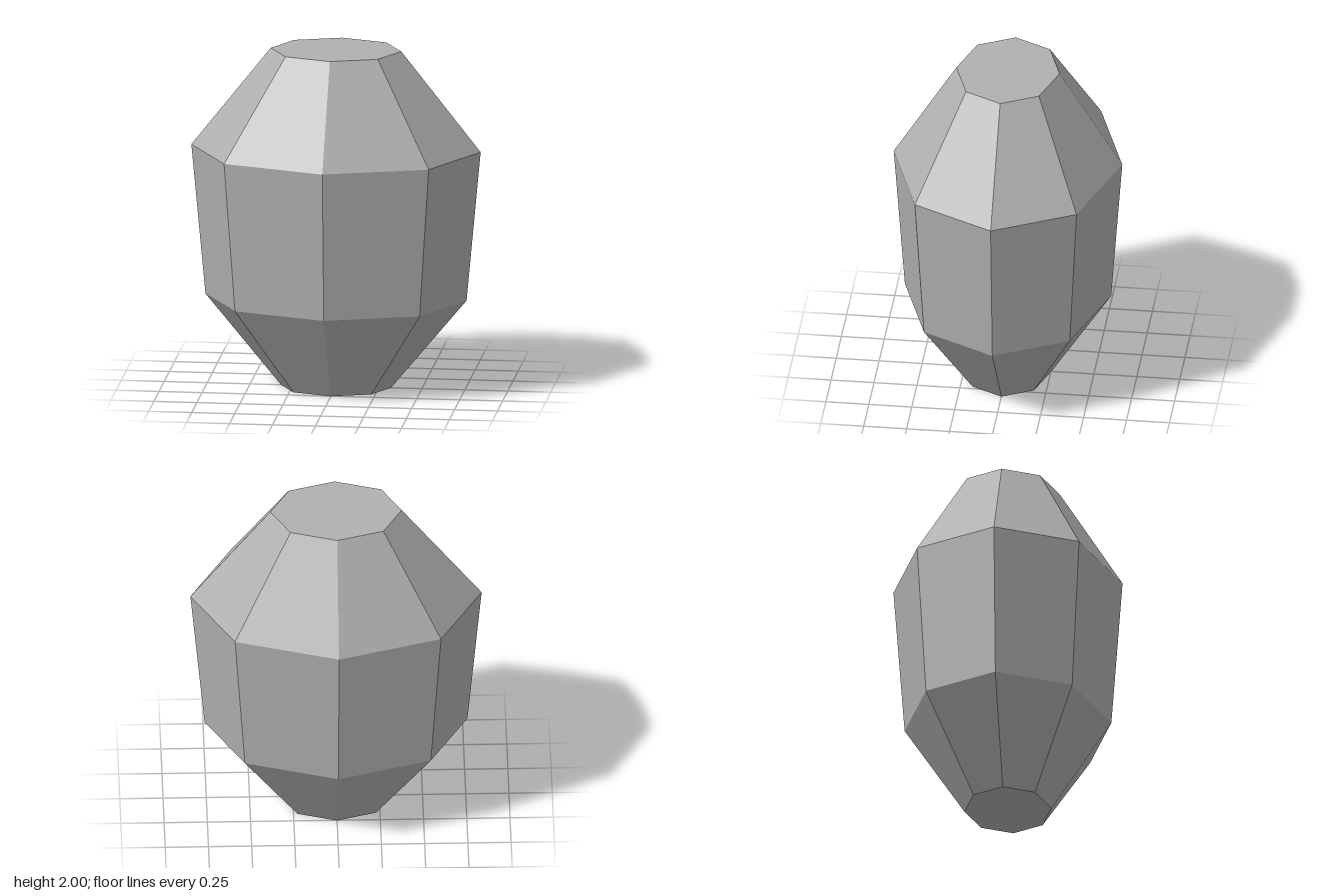
import * as THREE from 'three';

export function createModel() {
  const group = new THREE.Group();
  group.name = 'facetedStone';

  const stoneGrey = new THREE.MeshStandardMaterial({ color: 0xb0b0b0, flatShading: true });
  stoneGrey.name = 'stoneGrey';

  // Eight-sided body: flat base, flared foot, tall waist, tapered shoulder, flat top
  const profile = [
    [0, 0], [0.32, 0], [0.76, 0.53], [0.842, 1.415], [0.38, 2], [0, 2],
  ].map(([r, y]) => new THREE.Vector2(r, y));

  // Slightly flattened front to back
  const geometry = new THREE.LatheGeometry(profile, 8).scale(1, 1, 0.79).toNonIndexed();
  geometry.computeVertexNormals();

  const body = new THREE.Mesh(geometry, stoneGrey);
  body.name = 'stoneBody';
  group.add(body);
  return group;
}
